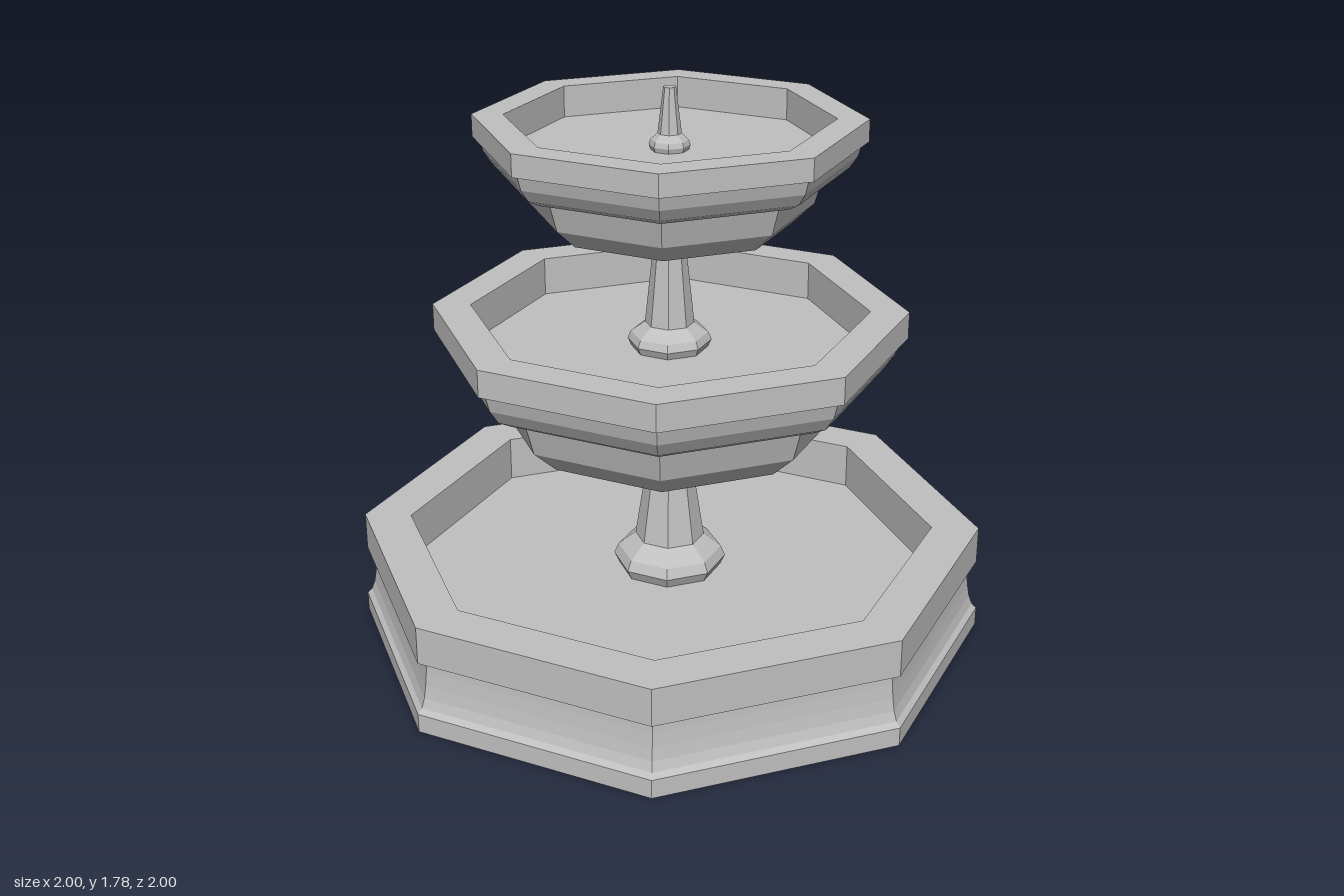
import * as THREE from 'three';

const stone = new THREE.MeshStandardMaterial({ color: 0xc0c0c0 });
stone.name = 'grey stone';

// Eight-sided turned part with crisp facets; profile is [radius, height] from bottom to top
function turned(name, profile, scale = 1, y = 0) {
  const points = profile.map(([r, h]) => new THREE.Vector2(r * scale, h * scale));
  const geometry = new THREE.LatheGeometry(points, 8).toNonIndexed();
  geometry.computeVertexNormals();
  const mesh = new THREE.Mesh(geometry, stone);
  mesh.name = name;
  mesh.position.y = y;
  return mesh;
}

// Tapered stem on a bulging foot
function column(name, floor, footRadius, footHeight, waist, top, tip) {
  return turned(name, [
    [footRadius * 0.88, floor - 0.01],
    [footRadius, floor + footHeight * 0.3],
    [footRadius * 0.92, floor + footHeight * 0.6],
    [waist, floor + footHeight],
    [tip, top],
    [0, top],
  ]);
}

export function createModel() {
  const fountain = new THREE.Group();
  fountain.name = 'fountain';

  // Ground pool: plinth, concave wall, overhanging rim, recessed floor
  fountain.add(turned('groundPool', [
    [0, 0], [1, 0], [1, 0.06], [0.985, 0.075], [0.974, 0.105], [0.967, 0.145],
    [0.962, 0.19], [0.96, 0.23], [0.99, 0.23], [0.99, 0.35],
    [0.84, 0.35], [0.84, 0.2], [0, 0.2],
  ]));

  // Stepped bowl, used at two sizes
  const bowl = [
    [0, 0], [0.34, 0], [0.46, 0.03], [0.54, 0.105], [0.572, 0.215],
    [0.62, 0.22], [0.665, 0.245], [0.695, 0.29], [0.71, 0.345],
    [0.733, 0.345], [0.733, 0.43], [0.615, 0.43], [0.615, 0.307], [0, 0.307],
  ];
  fountain.add(turned('middleBowl', bowl, 1, 0.655));
  fountain.add(turned('upperBowl', bowl, 0.802, 1.343));

  // Columns between the tiers and the spout on top
  fountain.add(column('lowerColumn', 0.2, 0.18, 0.11, 0.11, 0.67, 0.055));
  fountain.add(column('upperColumn', 0.962, 0.13, 0.08, 0.076, 1.36, 0.042));
  fountain.add(column('spout', 1.589, 0.062, 0.05, 0.036, 1.778, 0.019));

  return fountain;
}
